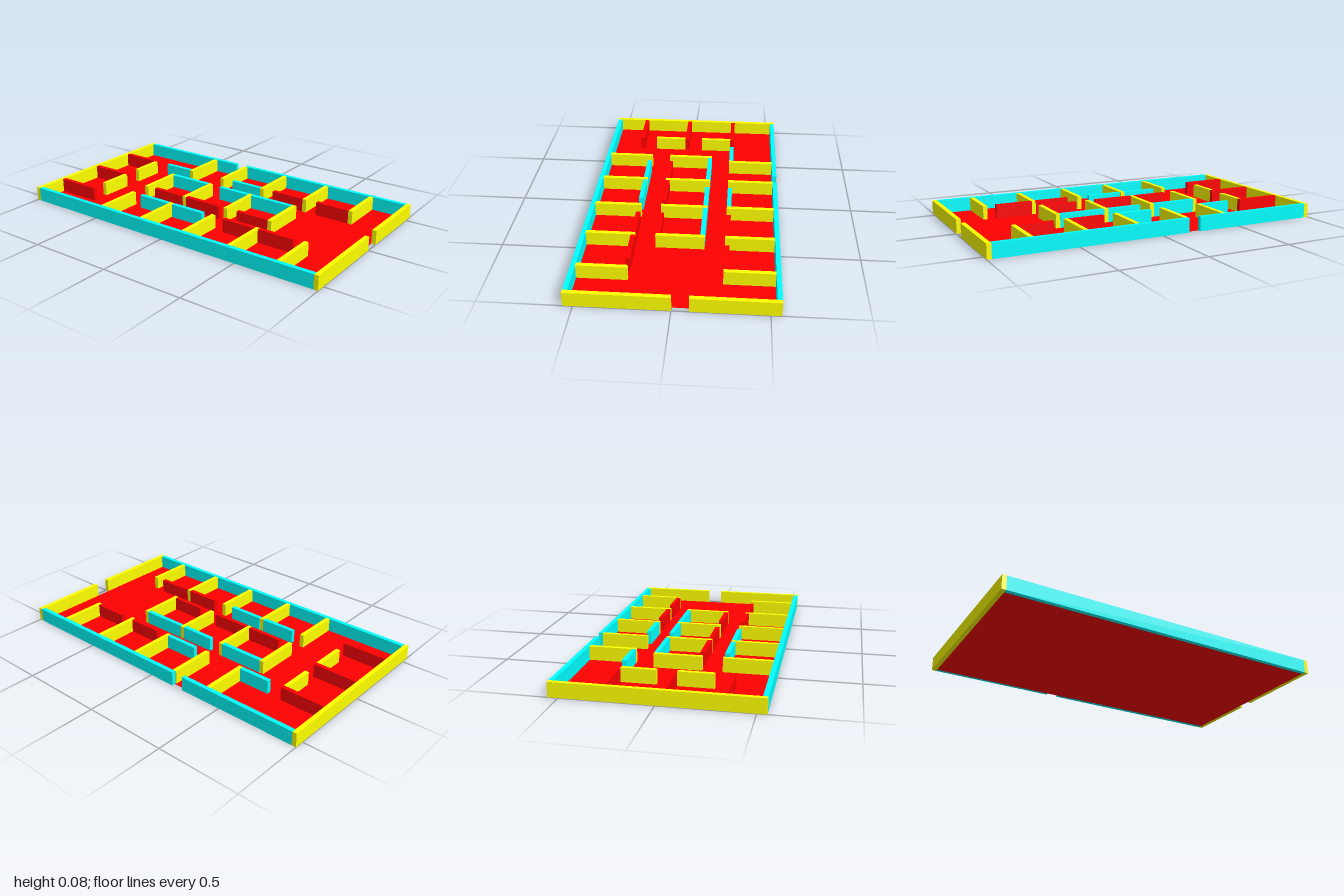
import * as THREE from 'three';

const HEIGHT = 0.083, THICK = 0.026, FLOOR = 0.002;

export function createModel() {
  const model = new THREE.Group();
  const paint = (color) => new THREE.MeshStandardMaterial({ color });
  const red = paint(0xff0000), yellow = paint(0xffff00), cyan = paint(0x00ffff);

  // Box given by its extents on the plan
  function block(name, material, x0, x1, z0, z1, y0, y1) {
    const mesh = new THREE.Mesh(new THREE.BoxGeometry(x1 - x0, y1 - y0, z1 - z0), material);
    mesh.position.set((x0 + x1) / 2, (y0 + y1) / 2, (z0 + z1) / 2);
    mesh.name = name;
    model.add(mesh);
  }
  const alongX = (name, material, z, x0, x1, y0 = FLOOR) =>
    block(name, material, x0, x1, z - THICK / 2, z + THICK / 2, y0, HEIGHT);
  const alongZ = (name, x, z0, z1, y0 = FLOOR) =>
    block(name, yellow, x - THICK / 2, x + THICK / 2, z0, z1, y0, HEIGHT);

  // Floor slab inside the outer walls
  block('floor', red, -0.974, 0.974, -0.535, 0.526, 0, FLOOR);

  // Outer walls, with door gaps at the back and on the +x side
  alongZ('outerSideWall', -0.987, -0.555, 0.552, 0);
  alongZ('outerSideWall', 0.987, -0.555, -0.09, 0);
  alongZ('outerSideWall', 0.987, 0, 0.552, 0);
  alongX('outerBackWall', cyan, -0.542, -0.974, -0.237, 0);
  alongX('outerBackWall', cyan, -0.542, -0.165, 0.974, 0);
  alongX('outerFrontWall', cyan, 0.539, -0.974, 0.974, 0);

  // Room dividers: back row, middle row and front row
  for (const x of [-0.407, -0.158, 0.147, 0.452, 0.758]) alongZ('backDivider', x, -0.529, -0.254);
  for (const x of [-0.46, -0.158, 0.147, 0.452]) alongZ('middleDivider', x, -0.14, 0.135);
  for (const x of [-0.46, -0.158, 0.147, 0.452, 0.758]) alongZ('frontDivider', x, 0.25, 0.526);

  // Short walls of the rooms on the -x side
  alongZ('sideRoomWall', -0.713, -0.254, -0.06);
  alongZ('sideRoomWall', -0.713, 0.052, 0.25);
  for (const z of [-0.267, 0.039, 0.345]) alongX('sideRoomDivider', red, z, -0.974, -0.7);

  // Corridor walls: [z, x from, x to]
  const cyanWalls = [
    [-0.267, -0.612, -0.42], [-0.267, -0.075, 0.134],
    [-0.128, -0.447, -0.171], [-0.128, -0.078, 0.134], [-0.128, 0.16, 0.439],
    [0.262, -0.388, -0.171], [0.262, -0.14, 0.08],
  ];
  const redWalls = [
    [-0.267, 0.228, 0.439], [-0.267, 0.532, 0.745],
    [0.123, -0.39, -0.171], [0.123, -0.145, 0.1], [0.123, 0.228, 0.439],
    [0.26, 0.228, 0.439], [0.26, 0.465, 0.69],
  ];
  for (const w of cyanWalls) alongX('corridorWall', cyan, ...w);
  for (const w of redWalls) alongX('redCorridorWall', red, ...w);

  return model;
}
